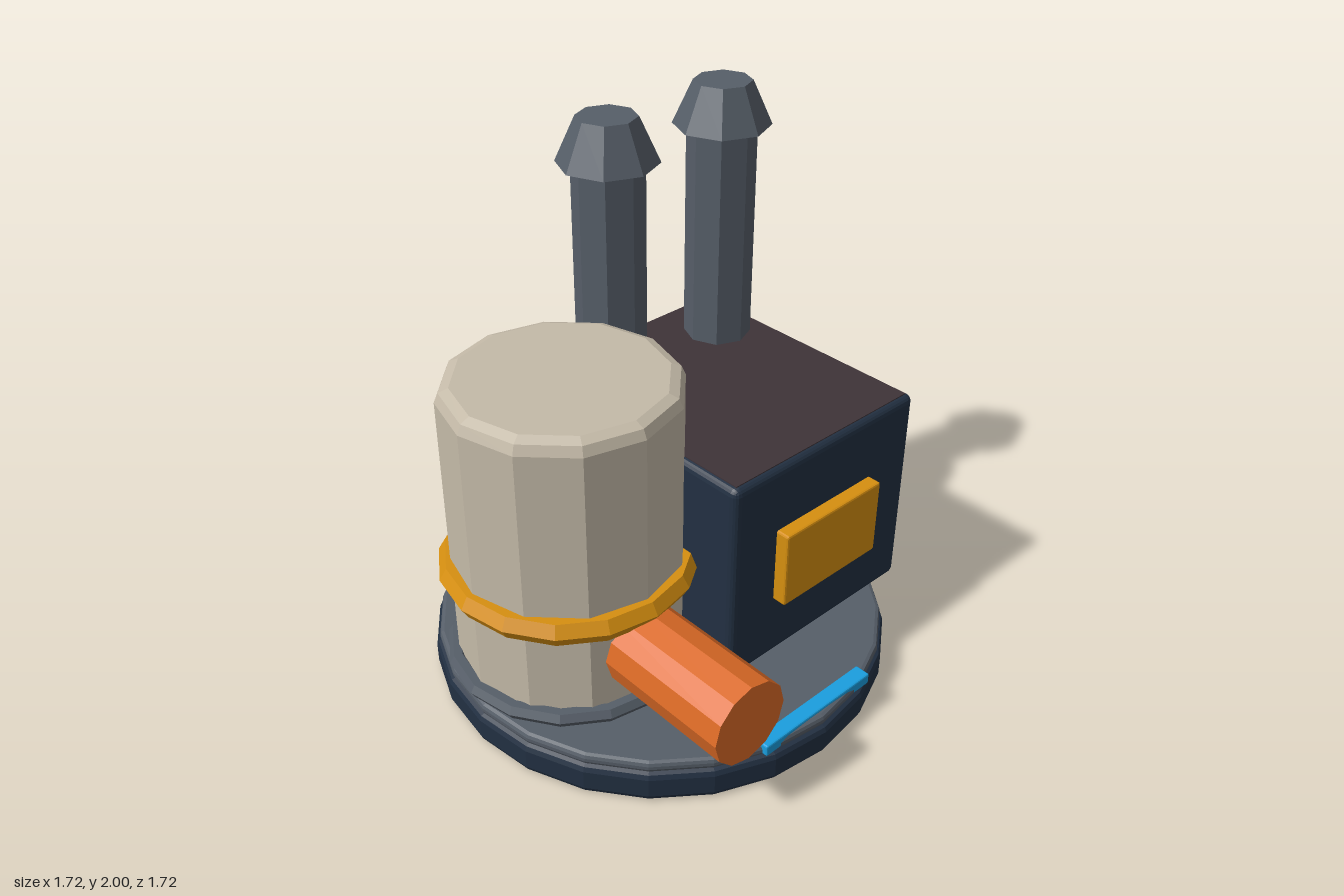
import * as THREE from 'three';
import { RoundedBoxGeometry } from 'three/addons/geometries/RoundedBoxGeometry.js';

const paint = (name, color) => new THREE.MeshStandardMaterial({ name, color, flatShading: true });

export function createModel() {
  const group = new THREE.Group();
  const navy = paint('navy', 0x223042);
  const grey = paint('slate grey', 0x565e68);
  const cream = paint('cream', 0xc4baa8);
  const gold = paint('gold', 0xd68f10);
  const orange = paint('orange', 0xdb6a26);
  const blue = paint('blue', 0x1a9ede);
  const brown = paint('dark brown', 0x3e3338);

  const add = (name, geometry, material, x = 0, y = 0, z = 0, parent = group) => {
    const mesh = new THREE.Mesh(geometry, material);
    mesh.name = name;
    mesh.position.set(x, y, z);
    parent.add(mesh);
    return mesh;
  };
  // Profile points [radius, y], listed from the bottom up
  const lathe = (points, sides) =>
    new THREE.LatheGeometry(points.map(([r, y]) => new THREE.Vector2(r, y)), sides);
  // Solid disc or drum with two-step bevelled rims
  const drum = (r, y0, y1, b, sides) => lathe([
    [0, y0], [r - b, y0], [r - b * 0.3, y0 + b * 0.3], [r, y0 + b],
    [r, y1 - b], [r - b * 0.3, y1 - b * 0.3], [r - b, y1], [0, y1],
  ], sides);
  // Band with a six-sided section
  const band = (major, minor, sides) => lathe(
    Array.from({ length: 7 }, (_, i) => {
      const a = (i - 2) * Math.PI / 3;
      return [major + minor * Math.cos(a), minor * Math.sin(a)];
    }), sides);

  // Round base
  add('base', drum(0.86, 0, 0.125, 0.025, 24), navy);
  add('basePlate', drum(0.845, 0.12, 0.165, 0.016, 24), grey);
  add('baseStrip', new RoundedBoxGeometry(0.53, 0.045, 0.06, 1, 0.006), blue, 0.005, 0.153, 0.79);

  // Tank with its bands and outlet pipe
  const tx = -0.395, tz = -0.045;
  add('tank', drum(0.418, 0.165, 1.31, 0.05, 12), cream, tx, 0, tz);
  add('tankFoot', band(0.43, 0.032, 16), grey, tx, 0.198, tz);
  add('tankBand', band(0.415, 0.052, 16), gold, tx, 0.58, tz);
  const pipe = add('outletPipe', new THREE.CylinderGeometry(0.156, 0.156, 0.6, 12), orange, tx, 0.41, 0.56);
  pipe.rotation.x = Math.PI / 2;

  // Engine housing with a dark top and a front panel
  add('housing', new RoundedBoxGeometry(0.92, 0.825, 1.083, 2, 0.03), navy, 0.34, 0.578, -0.042);
  add('housingTop', new THREE.BoxGeometry(0.872, 0.006, 1.035), brown, 0.34, 0.99, -0.042);
  add('frontPanel', new RoundedBoxGeometry(0.49, 0.305, 0.08, 1, 0.008), gold, 0.335, 0.578, 0.513);

  // Pair of chimneys with flared caps
  [0.067, 0.61].forEach((x, i) => {
    const chimney = new THREE.Group();
    chimney.name = i ? 'leftChimney' : 'rightChimney';
    chimney.position.set(x, 0, -0.335);
    group.add(chimney);
    add('chimneyStack', lathe([[0, 0.95], [0.13, 0.95], [0.13, 1.85]], 8), grey, 0, 0, 0, chimney);
    add('chimneyCap', lathe([[0, 1.838], [0.182, 1.838], [0.108, 2], [0, 2]], 8), grey, 0, 0, 0, chimney);
    // Dark patch on the chimney face beside the tank
    if (!i) {
      const a = -Math.PI / 8;
      const patch = add('chimneyPatch', new THREE.BoxGeometry(0.098, 0.23, 0.006), brown,
        0.12 * Math.sin(a), 1.1, 0.12 * Math.cos(a), chimney);
      patch.rotation.y = a;
    }
  });

  return group;
}
